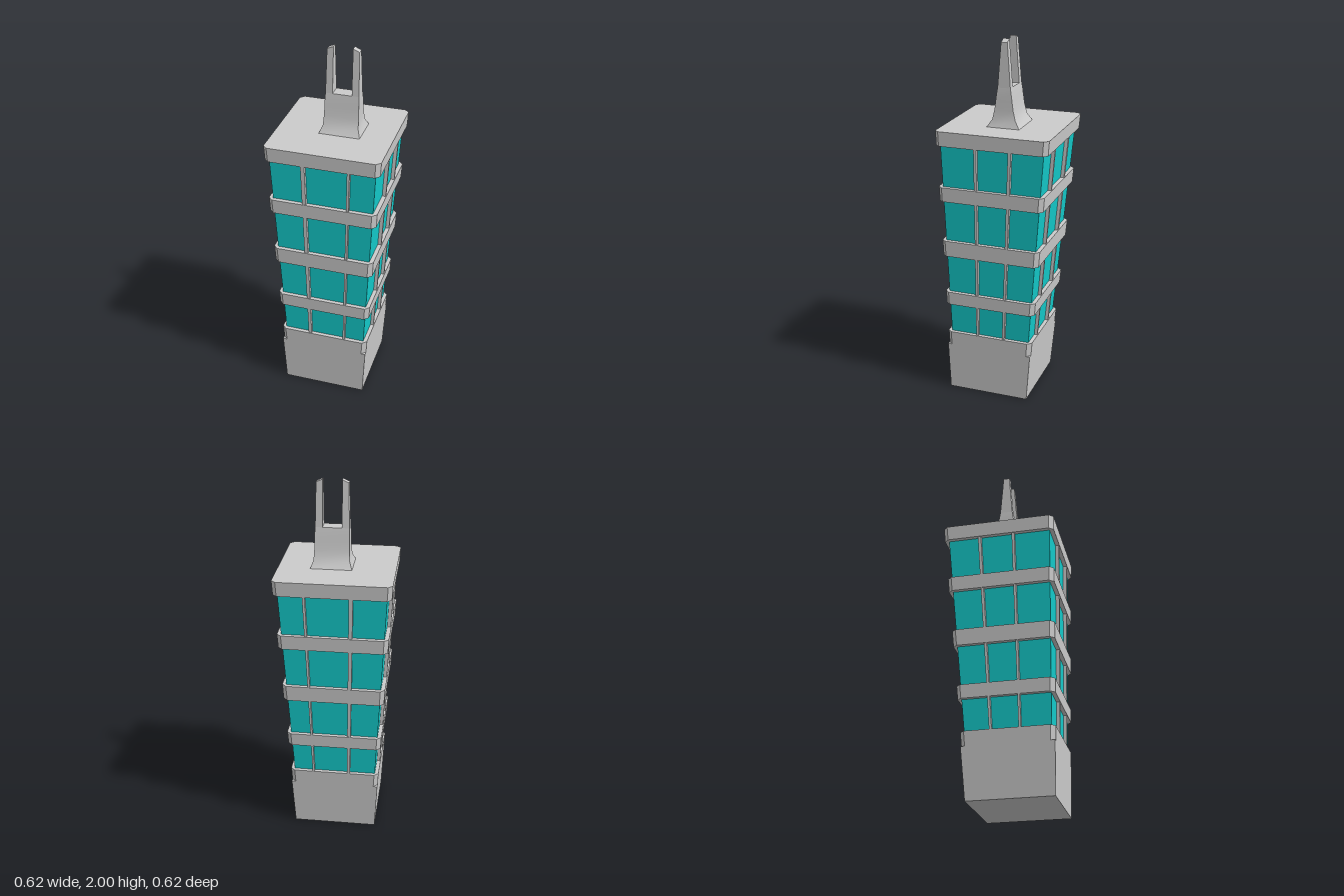
import * as THREE from 'three';
import { toCreasedNormals } from 'three/addons/utils/BufferGeometryUtils.js';

const grey = new THREE.MeshStandardMaterial({ color: 0xcccccc });
const teal = new THREE.MeshStandardMaterial({ color: 0x14cccc });

// Skins a stack of equal-length rings (counter-clockwise from above) and caps both ends.
function loft(rings, crease = 0.1) {
  const n = rings[0].length;
  const index = [];
  for (let r = 0; r < rings.length - 1; r++) {
    for (let i = 0; i < n; i++) {
      const a = r * n + i, b = r * n + (i + 1) % n;
      index.push(a, b, b + n, a, b + n, a + n);
    }
  }
  const top = (rings.length - 1) * n;
  for (let i = 1; i < n - 1; i++) {
    index.push(0, i + 1, i, top, top + i, top + i + 1);
  }
  const geo = new THREE.BufferGeometry();
  geo.setAttribute('position', new THREE.Float32BufferAttribute(rings.flat(2), 3));
  geo.setIndex(index);
  return toCreasedNormals(geo, crease);
}

function rect(x0, x1, z0, z1, y) {
  return [[x0, y, z1], [x1, y, z1], [x1, y, z0], [x0, y, z0]];
}

// Leaning, flaring outline of the tower at a height, moved inwards by an inset.
function outline(y, inset = 0) {
  return {
    x0: -0.23 - 0.052 * y + inset, x1: 0.23 + 0.052 * y - inset,
    z0: -0.177 - 0.0864 * y + inset, z1: 0.28 + 0.0195 * y - inset,
  };
}

function towerRing(y, inset = 0, c = 0) {
  const { x0, x1, z0, z1 } = outline(y, inset);
  if (!c) return rect(x0, x1, z0, z1, y);
  return [
    [x0 + c, y, z1], [x1 - c, y, z1], [x1, y, z1 - c], [x1, y, z0 + c],
    [x1 - c, y, z0], [x0 + c, y, z0], [x0, y, z0 + c], [x0, y, z1 - c],
  ];
}

// Section of a window bar: spans fractions f0..f1 (-1..1) along a face.
function barRing(side, f0, f1, y) {
  const o = outline(y, 0.003), depth = 0.03;
  const at = (lo, hi, f) => (lo + hi) / 2 + f * (hi - lo) / 2;
  const xa = at(o.x0, o.x1, f0), xb = at(o.x0, o.x1, f1);
  const za = at(o.z0, o.z1, f0), zb = at(o.z0, o.z1, f1);
  if (side === 'front') return rect(xa, xb, o.z1 - depth, o.z1, y);
  if (side === 'back') return rect(xa, xb, o.z0, o.z0 + depth, y);
  if (side === 'left') return rect(o.x1 - depth, o.x1, za, zb, y);
  return rect(o.x0, o.x0 + depth, za, zb, y);
}

export function createModel() {
  const model = new THREE.Group();
  model.name = 'tower';
  const add = (name, geo, mat = grey) => {
    const mesh = new THREE.Mesh(geo, mat);
    mesh.name = name;
    model.add(mesh);
  };
  const chamfer = 0.023;

  // Base: square below, corners cut just under the windows
  add('base', loft([towerRing(0), towerRing(0.28)]));
  add('baseRim', loft([towerRing(0.28, 0, chamfer), towerRing(0.36, 0, chamfer)]));

  // Glass core
  add('glass', loft([towerRing(0.35, 0.021), towerRing(1.48, 0.023)]), teal);

  // Floor bands and roof slab
  const bands = [[0.535, 0.61], [0.83, 0.92], [1.15, 1.23], [1.46, 1.54]];
  bands.forEach(([y0, y1], i) => {
    add(i === 3 ? 'roofSlab' : 'floorBand',
      loft([towerRing(y0, 0, chamfer), towerRing(y1, 0, chamfer)]));
  });

  // Window bars on every storey and face
  const acrossX = [[-0.36, -0.29], [0.455, 0.5]];
  const acrossZ = [[-0.375, -0.32], [0.25, 0.3]];
  const faces = { front: acrossX, back: acrossX, left: acrossZ, right: acrossZ };
  bands.forEach(([ceiling], i) => {
    const floor = i ? bands[i - 1][1] : 0.36;
    for (const [side, bars] of Object.entries(faces)) {
      for (const [f0, f1] of bars) {
        add(side + 'WindowBar', loft([barRing(side, f0, f1, floor), barRing(side, f0, f1, ceiling)]));
      }
    }
  });

  // Mast foot: flared, smoothly curved front and back
  const foot = [
    [1.54, 0.110, 0.090], [1.58, 0.095, 0.064], [1.63, 0.0925, 0.052],
    [1.68, 0.0915, 0.045], [1.72, 0.091, 0.040], [1.75, 0.089, 0.035],
  ];
  const cx = 0.029, cz = -0.008;
  add('mastFoot', loft(
    foot.map(([y, hx, hz]) => rect(cx - hx, cx + hx, cz - hz, cz + hz, y)), 0.5));

  // Two tapering prongs with tops sloping down to the outside
  for (const s of [-1, 1]) {
    const ring = (inner, outer, hz, yIn, yOut) => {
      const xi = cx + s * inner, xo = cx + s * outer;
      const r = rect(Math.min(xi, xo), Math.max(xi, xo), cz - hz, cz + hz, 0);
      return r.map(([x, , z]) => [x, x === xi ? yIn : yOut, z]);
    };
    add(s > 0 ? 'leftProng' : 'rightProng', loft([
      ring(0.051, 0.089, 0.035, 1.75, 1.75),
      ring(0.051, 0.085, 0.017, 2, 1.985),
    ]));
  }
  return model;
}
